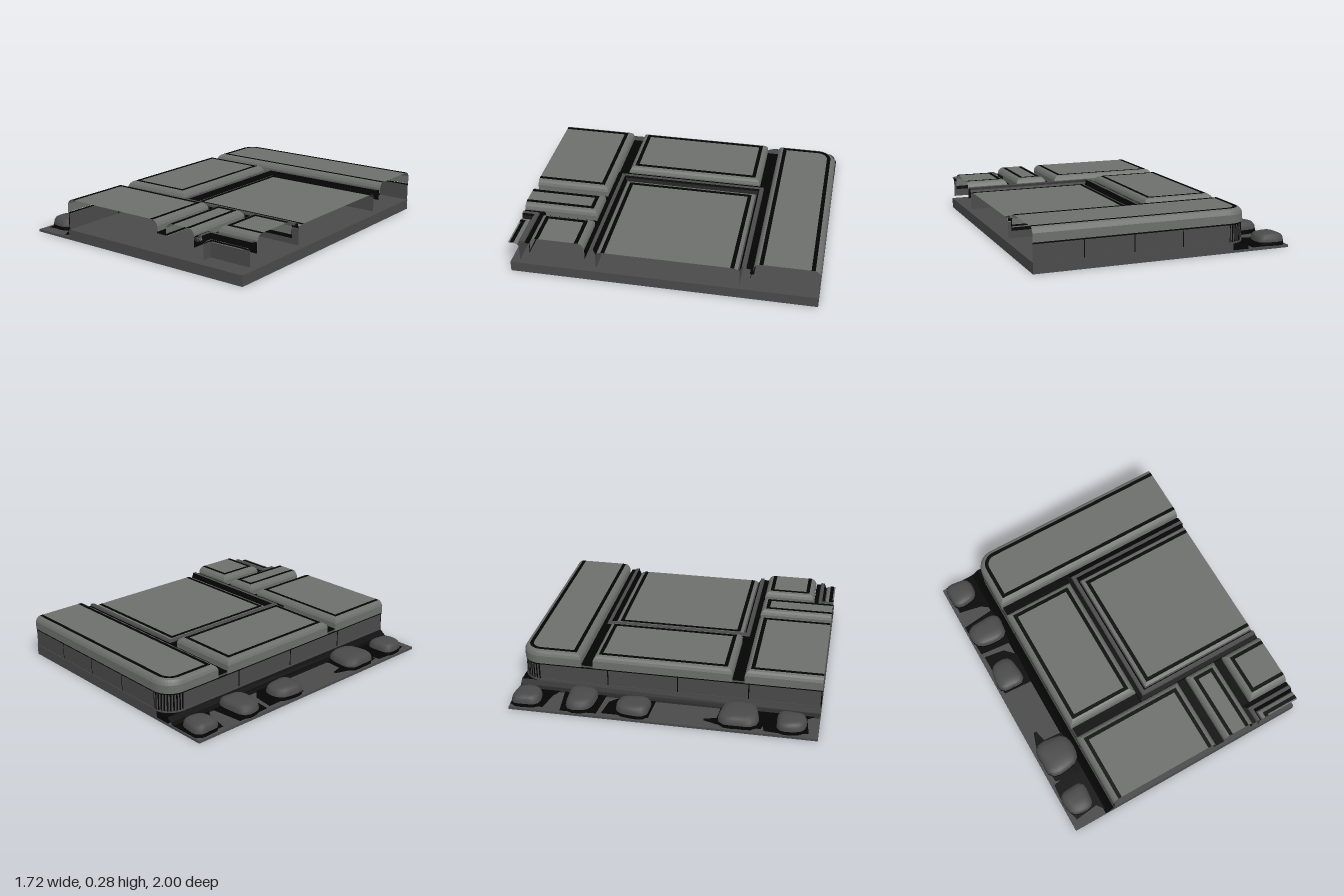
import * as THREE from 'three';

const mat = (name, color) => {
  const m = new THREE.MeshStandardMaterial({ color, side: THREE.DoubleSide });
  m.name = name;
  return m;
};
const EDGE_X = 0.86, EDGE_Z = 1, LEFT = -0.57, CORNER = 0.13;

// Outline of a slab seen from above; the sides on the tile's cut edges are never inset.
function outline([x0, x1, z0, z1], inset, radius) {
  const a = x0 + inset, b = x1 >= EDGE_X ? x1 : x1 - inset;
  const c = z0 + inset, d = z1 >= EDGE_Z ? z1 : z1 - inset;
  const pts = [[a, d], [b, d], [b, c]];
  if (!radius) return [...pts, [a, c]];
  const r = radius - inset;
  for (let i = 0; i <= 10; i++) {
    const t = (i / 10) * Math.PI / 2;
    pts.push([a + r - r * Math.sin(t), c + r - r * Math.cos(t)]);
  }
  return pts;
}

// Collects quads and triangles per material, then makes one flat-faced mesh.
function meshBuilder(name, materials) {
  const buckets = materials.map(() => []);
  const tri = (m, ...p) => p.forEach((v) => buckets[m].push(...v));
  return {
    tri,
    quad(m, a, b, c, d) { tri(m, a, b, c); tri(m, a, c, d); },
    build() {
      const geo = new THREE.BufferGeometry();
      geo.setAttribute('position', new THREE.Float32BufferAttribute(buckets.flat(), 3));
      let start = 0;
      buckets.forEach((b, i) => { geo.addGroup(start, b.length / 3, i); start += b.length / 3; });
      geo.computeVertexNormals();
      const mesh = new THREE.Mesh(geo, materials);
      mesh.name = name;
      return mesh;
    },
  };
}

// Hollow bevelled shell, open on the cut edges. Each ring is [inset, y, material of the band below it].
function slab(name, rect, rings, materials, { radius = 0, capped = true } = {}) {
  const mb = meshBuilder(name, materials);
  const loops = rings.map(([inset, y]) => outline(rect, inset, radius).map(([x, z]) => [x, y, z]));
  const n = loops[0].length;
  const onCut = (p, q) => (p[0] >= EDGE_X && q[0] >= EDGE_X) || (p[2] >= EDGE_Z && q[2] >= EDGE_Z);
  for (let k = 1; k < loops.length; k++) {
    for (let i = 0; i < n; i++) {
      const j = (i + 1) % n, lo = loops[k - 1], hi = loops[k];
      if (!onCut(lo[i], lo[j])) mb.quad(rings[k][2], lo[i], lo[j], hi[j], hi[i]);
    }
  }
  const top = loops[loops.length - 1];
  for (let i = 1; capped && i < n - 1; i++) mb.tri(0, top[0], top[i], top[i + 1]);
  return mb.build();
}

// Lumpy rounded cobble lofted from irregular rings, with a soiled foot.
function cobble(cx, cz, rx, rz, seed, materials) {
  const n = 20, levels = [[1, 0.01], [1, 0.04], [0.96, 0.064], [0.85, 0.082], [0.6, 0.09], [0.3, 0.092]];
  const pos = [], idx = [];
  levels.forEach(([s, y]) => {
    for (let i = 0; i < n; i++) {
      const t = (i / n) * Math.PI * 2, c = Math.cos(t), d = Math.sin(t);
      const box = Math.pow(Math.abs(c) ** 3.5 + Math.abs(d) ** 3.5, -1 / 3.5);
      const r = s * box * (0.97 + 0.05 * Math.sin(3 * t + seed * 2));
      pos.push(cx + rx * r * c, y, cz + rz * r * d);
    }
  });
  pos.push(cx, 0.093, cz);
  const last = (levels.length - 1) * n;
  for (let k = 0; k <= last; k += n) {
    for (let i = 0; i < n; i++) {
      const j = (i + 1) % n;
      if (k === last) idx.push(k + i, k + n, k + j);
      else idx.push(k + i, k + n + i, k + j, k + j, k + n + i, k + n + j);
    }
  }
  const geo = new THREE.BufferGeometry();
  geo.setAttribute('position', new THREE.Float32BufferAttribute(pos, 3));
  geo.setIndex(idx);
  geo.addGroup(0, n * 6, 1);
  geo.addGroup(n * 6, idx.length - n * 6, 0);
  geo.computeVertexNormals();
  const mesh = new THREE.Mesh(geo, materials);
  mesh.name = 'cobble';
  return mesh;
}

export function createModel() {
  const stone = mat('paleStone', 0x6c6f6c);
  const dark = mat('darkStone', 0x4a4a4a);
  const black = mat('blackMortar', 0x040404);
  const model = new THREE.Group();
  model.name = 'pavingTile';
  const box = (name, x0, x1, y0, y1, z0, z1, m) => {
    const mesh = new THREE.Mesh(new THREE.BoxGeometry(x1 - x0, y1 - y0, z1 - z0), m);
    mesh.position.set((x0 + x1) / 2, (y0 + y1) / 2, (z0 + z1) / 2);
    mesh.name = name;
    model.add(mesh);
  };

  // Ground sheet and raised foundation
  box('ground', -EDGE_X, EDGE_X, 0, 0.016, -1, 1, dark);
  const whole = [LEFT, EDGE_X, -1, 1];
  model.add(slab('foundation', whole, [[0, 0.01], [0, 0.07, 0]], [dark], { radius: CORNER }));
  box('foundationFront', LEFT, EDGE_X, 0.016, 0.07, 0.995, 1, dark);
  box('foundationSide', EDGE_X - 0.005, EDGE_X, 0.016, 0.07, -1, 1, dark);

  // Outer wall under the slabs, with seams and a fluted corner
  const wall = meshBuilder('outerWall', [dark, black]);
  const path = outline(whole, 0.004, CORNER).slice(2);
  path.push([LEFT + 0.004, 1]);
  for (let i = 0; i < path.length - 1; i++) {
    const [ax, az] = path[i], [bx, bz] = path[i + 1];
    const at = (t, y) => [ax + (bx - ax) * t, y, az + (bz - az) * t];
    const long = Math.hypot(bx - ax, bz - az) > 0.3;
    const parts = long ? 4 : 1, seam = long ? 0.004 : 0.5;
    for (let p = 0; p < parts; p++) {
      const s = p / parts, e = (p + 1) / parts, m = e - seam;
      wall.quad(0, at(s, 0.07), at(m, 0.07), at(m, 0.18), at(s, 0.18));
      wall.quad(1, at(m, 0.07), at(e, 0.07), at(e, 0.18), at(m, 0.18));
    }
    wall.quad(1, at(0, 0.18), at(1, 0.18), at(1, 0.19), at(0, 0.19));
  }
  model.add(wall.build());

  // Bevelled paving slabs with an inlaid black border
  const profile = [[0, 0.19], [0, 0.245, 0], [0.008, 0.262, 0], [0.02, 0.274, 0], [0.035, 0.28, 0], [0.06, 0.28, 1]];
  const slabs = [
    ['backSlab', [LEFT, EDGE_X, -1, -0.585], CORNER],
    ['leftSlab', [LEFT, -0.07, -0.505, 0.42], 0],
    ['frontLeftSlab', [LEFT, 0.21, 0.5, 1], 0],
    ['narrowSlab', [0.28, 0.5, 0.5, 1], 0],
    ['smallSlab', [0.57, EDGE_X, 0.5, 0.855], 0],
  ];
  slabs.forEach(([name, rect, radius]) => model.add(slab(name, rect, profile, [stone, black], { radius })));

  // Recessed slabs with deep bodies, each inside a slightly higher stepped frame
  const sunken = [[0, 0.1], [0, 0.205, 2], [0.012, 0.22, 2], [0.035, 0.228, 0], [0.06, 0.228, 1]];
  const frame = [[0, 0.165], [0, 0.235, 1], [0.03, 0.238, 1], [0.034, 0.25, 0], [0.058, 0.25, 0],
    [0.062, 0.235, 1], [0.076, 0.205, 1]];
  [['centre', [0, EDGE_X, -0.5, 0.425]], ['corner', [0.57, EDGE_X, 0.93, 1]]].forEach(([name, rect]) => {
    const [x0, x1, z0, z1] = rect;
    const outer = [x0 - 0.07, x1, z0 - 0.07, z1 >= EDGE_Z ? z1 : z1 + 0.07];
    model.add(slab(`${name}Slab`, rect, sunken, [stone, black, dark]));
    model.add(slab(`${name}Frame`, outer, frame, [dark, black], { capped: false }));
  });
  // Pale lining on the centre body's inner wall
  box('centreLining', 0.001, 0.004, 0.1, 0.205, -0.499, 0.424, stone);

  // Black mortar in the gaps between slabs
  [[LEFT + 0.01, EDGE_X, -0.59, -0.565], [LEFT + 0.01, -0.065, -0.57, -0.5], [LEFT + 0.01, -0.065, 0.415, 0.505],
    [0.205, 0.285, 0.49, 1], [0.495, 0.575, 0.49, 0.865]]
    .forEach(([a, b, c, d]) => box('mortar', a, b, 0.198, 0.208, c, d, black));

  // Sloping gutter against the wall
  const gutter = meshBuilder('gutter', [black]);
  const prof = [[-0.63, 0.017], [-0.6, 0.035], [LEFT, 0.06]];
  for (let i = 0; i < 2; i++) {
    const [[a, y], [b, h]] = [prof[i], prof[i + 1]];
    gutter.quad(0, [a, y, 1], [b, h, 1], [b, h, -1], [a, y, -1]);
  }
  model.add(gutter.build());
  // Fill behind the rounded corner
  box('cornerFill', LEFT, LEFT + 0.12, 0.016, 0.06, -0.998, -0.88, black);

  // Dark soil patches around the cobbles
  const patches = [
    [[-0.83, -1], [-0.6, -1], [-0.6, -0.7], [-0.68, -0.75], [-0.83, -0.78]],
    [[-0.85, -0.66], [-0.6, -0.69], [-0.6, -0.4], [-0.84, -0.42]],
    [[-0.83, -0.39], [-0.69, -0.37], [-0.62, -0.3], [-0.63, -0.07], [-0.83, -0.08]],
    [[-0.79, 0.27], [-0.77, 0.27], [-0.75, 0.35], [-0.6, 0.36], [-0.6, 0.72], [-0.82, 0.64], [-0.84, 0.42]],
    [[-0.84, 0.66], [-0.6, 0.62], [-0.6, 1], [-0.66, 0.92], [-0.82, 0.94], [-0.85, 0.8]],
  ];
  patches.forEach((p) => {
    const geo = new THREE.ShapeGeometry(new THREE.Shape(p.map(([x, z]) => new THREE.Vector2(x, -z))));
    const mesh = new THREE.Mesh(geo.rotateX(-Math.PI / 2), black);
    mesh.position.y = 0.022;
    mesh.name = 'soilPatch';
    model.add(mesh);
  });

  // Row of cobbles along the edge
  [[-0.755, -0.9, 0.095, 0.095], [-0.725, -0.545, 0.127, 0.097], [-0.755, -0.19, 0.095, 0.113],
    [-0.725, 0.49, 0.127, 0.13], [-0.755, 0.825, 0.095, 0.097]]
    .forEach(([x, z, rx, rz], i) => model.add(cobble(x, z, rx, rz, i + 1, [dark, black])));

  return model;
}
